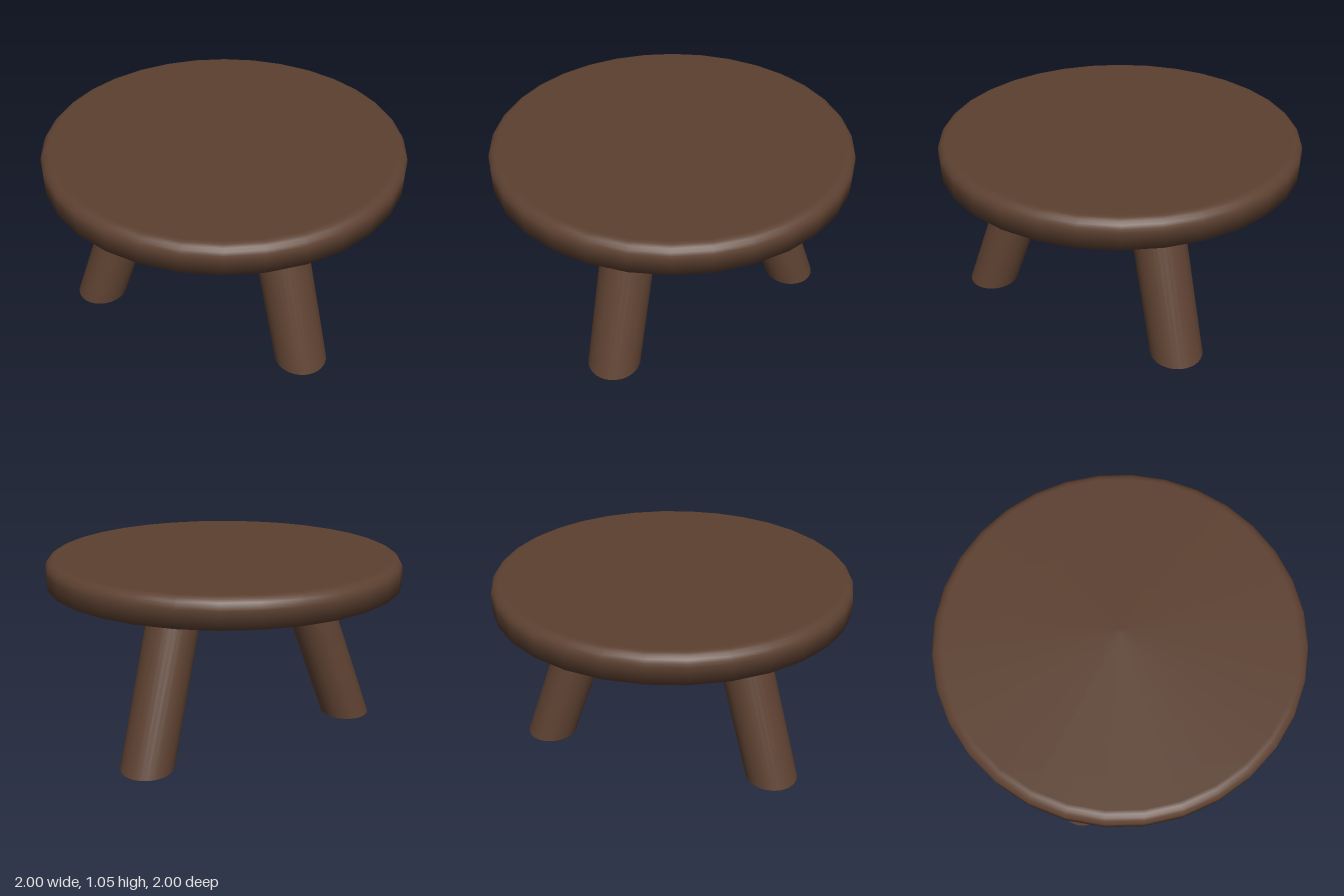
import * as THREE from 'three';

const SEAT_BOTTOM = 0.905, SEAT_TOP = 1.055, SIDES = 32;

// Round seat with a softened upper edge
function makeSeat(material) {
  const radius = 1.005, round = 0.06;
  const profile = [new THREE.Vector2(0, SEAT_BOTTOM), new THREE.Vector2(radius, SEAT_BOTTOM)];
  for (let i = 0; i <= 5; i++) {
    const a = (i / 5) * Math.PI / 2;
    profile.push(new THREE.Vector2(
      radius - round + round * Math.cos(a),
      SEAT_TOP - round + round * Math.sin(a)
    ));
  }
  profile.push(new THREE.Vector2(0, SEAT_TOP));
  const seat = new THREE.Mesh(new THREE.LatheGeometry(profile, SIDES, Math.PI / SIDES), material);
  seat.name = 'seat';
  return seat;
}

// Splayed leg: a cylinder sheared so both ends stay level
function makeLeg(name, foot, head, material) {
  const geometry = new THREE.CylinderGeometry(0.147, 0.147, SEAT_BOTTOM, SIDES);
  geometry.translate(0, SEAT_BOTTOM / 2, 0);
  const sx = (head[0] - foot[0]) / SEAT_BOTTOM;
  const sz = (head[1] - foot[1]) / SEAT_BOTTOM;
  geometry.applyMatrix4(new THREE.Matrix4().set(
    1, sx, 0, foot[0],
    0, 1, 0, 0,
    0, sz, 1, foot[1],
    0, 0, 0, 1
  ));
  const leg = new THREE.Mesh(geometry, material);
  leg.name = name;
  return leg;
}

export function createModel() {
  const wood = new THREE.MeshStandardMaterial({ color: 0x5c4030 });
  wood.name = 'dark wood';

  const stool = new THREE.Group();
  stool.name = 'stool';
  stool.add(makeSeat(wood));

  // Foot and head centres as [x, z]
  const legs = [
    ['frontLeg', [0.22, 0.77], [0.127, 0.455]],
    ['rightLeg', [-0.765, -0.105], [-0.445, -0.05]],
    ['backLeftLeg', [0.565, -0.495], [0.327, -0.268]],
  ];
  for (const [name, foot, head] of legs) stool.add(makeLeg(name, foot, head, wood));
  return stool;
}
